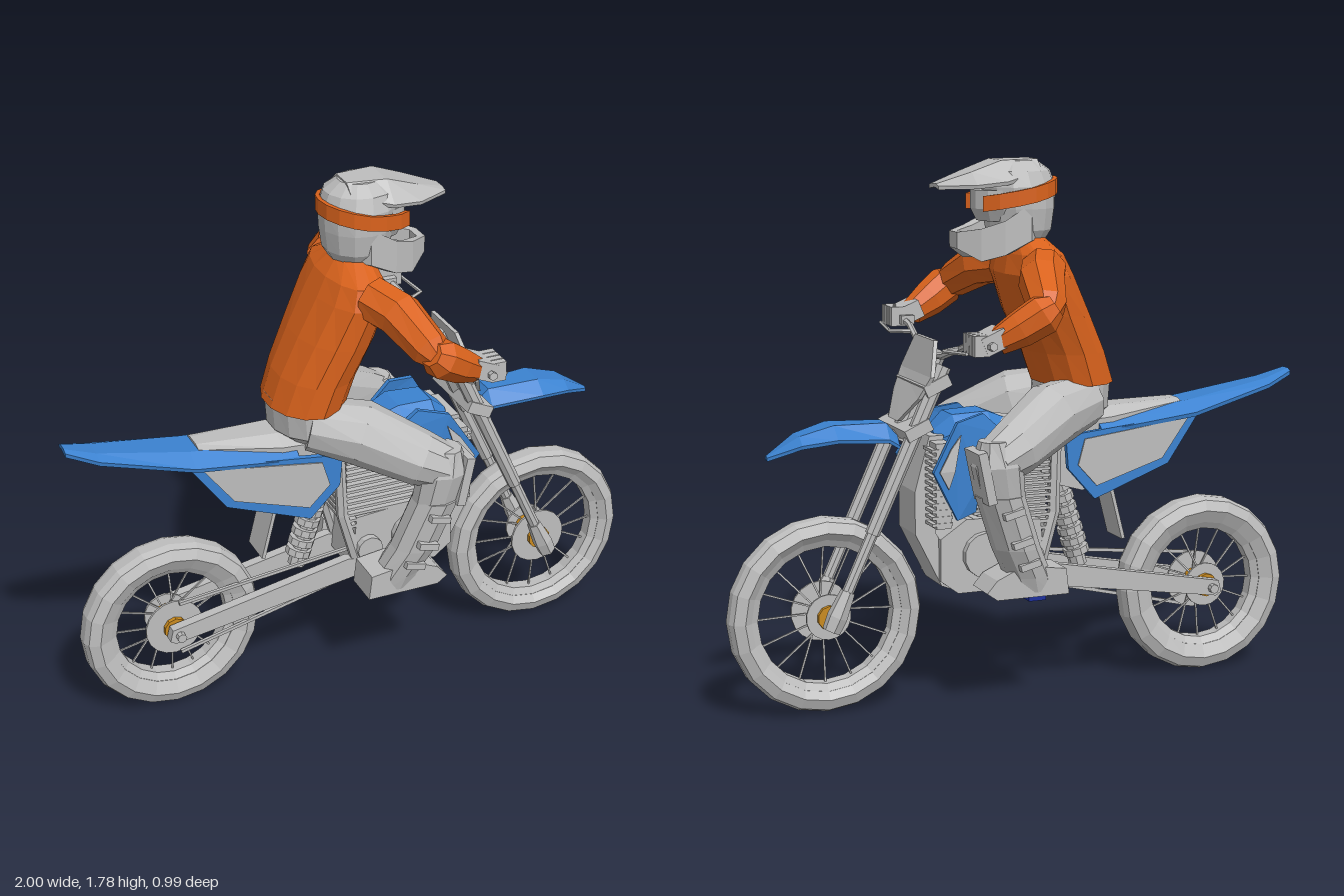
import * as THREE from 'three';
import { mergeGeometries } from 'three/addons/utils/BufferGeometryUtils.js';

const V = (x, y, z) => new THREE.Vector3(x, y, z);

// Faceted copy of a closed geometry with its faces turned outward
function flat(geo) {
  const p = (geo.index ? geo.toNonIndexed() : geo).attributes.position.array.slice();
  let vol = 0;
  const at = i => V(p[i], p[i + 1], p[i + 2]);
  for (let i = 0; i < p.length; i += 9) vol += at(i).dot(at(i + 3).cross(at(i + 6)));
  if (vol < 0) for (let i = 0; i < p.length; i += 9)
    for (let j = 3; j < 6; j++) [p[i + j], p[i + j + 3]] = [p[i + j + 3], p[i + j]];
  const out = new THREE.BufferGeometry();
  out.setAttribute('position', new THREE.BufferAttribute(p, 3));
  out.computeVertexNormals();
  return out;
}
const merge = list => mergeGeometries(list.map(flat));

// Skin over equal-sized rings of points, capped at both ends
function loft(rings) {
  const n = rings[0].length, pos = [], idx = [];
  rings.forEach(r => r.forEach(v => pos.push(v.x, v.y, v.z)));
  for (let i = 0; i < rings.length - 1; i++) for (let k = 0; k < n; k++) {
    const a = i * n + k, b = i * n + (k + 1) % n;
    idx.push(a, b, b + n, a, b + n, a + n);
  }
  const last = (rings.length - 1) * n;
  for (let k = 1; k < n - 1; k++) idx.push(0, k + 1, k, last, last + k, last + k + 1);
  const g = new THREE.BufferGeometry();
  g.setAttribute('position', new THREE.Float32BufferAttribute(pos, 3));
  g.setIndex(idx);
  return flat(g);
}
// Stacked ovals: [x, y, z, rx, rz]
const ovals = (secs, n = 12) => loft(secs.map(([x, y, z, rx, rz]) => Array.from({ length: n }, (_, k) => {
  const a = (k + 0.5) / n * Math.PI * 2;
  return V(x + Math.cos(a) * rx, y, z + Math.sin(a) * rz);
})));
// Round bar through points [x, y, z, r]
function limb(pts, n = 8, ref = V(0, 0, 1)) {
  const P = pts.map(p => V(p[0], p[1], p[2]));
  return loft(P.map((c, i) => {
    const t = P[Math.min(i + 1, P.length - 1)].clone().sub(P[Math.max(i - 1, 0)]).normalize();
    const u = t.clone().cross(ref).normalize(), w = t.clone().cross(u);
    return Array.from({ length: n }, (_, k) => {
      const a = (k + 0.5) / n * Math.PI * 2, r = pts[i][3];
      return c.clone().addScaledVector(u, Math.cos(a) * r).addScaledVector(w, Math.sin(a) * r);
    });
  }));
}
// Arched shell running along x: [x, y, halfWidth, drop]
const canopy = (secs, th) => loft(secs.map(([x, y, w, d]) => [
  V(x, y - d, -w), V(x, y, -w * 0.5), V(x, y, w * 0.5), V(x, y - d, w),
  V(x, y - d - th, w * 0.97), V(x, y - th, w * 0.48), V(x, y - th, -w * 0.48), V(x, y - d - th, -w * 0.97)]));
// Side-on outline pushed from z0 to z1, optionally shifted in z by a rule
function slab(pts, z0, z1, rule) {
  const g = new THREE.ExtrudeGeometry(new THREE.Shape(pts.map(p => new THREE.Vector2(...p))), { depth: z1 - z0, bevelEnabled: false });
  g.translate(0, 0, z0);
  const a = g.attributes.position;
  if (rule) for (let i = 0; i < a.count; i++) a.setZ(i, a.getZ(i) + rule(a.getX(i), a.getY(i)));
  return flat(g);
}
const box = (w, h, d, x, y, z, tilt = 0) => flat(new THREE.BoxGeometry(w, h, d).rotateZ(tilt).translate(x, y, z));
const disc = (r, d, x, y, z, n = 18) => flat(new THREE.CylinderGeometry(r, r, d, n).rotateX(Math.PI / 2).translate(x, y, z));

export function createModel() {
  const mat = (name, color) => Object.assign(new THREE.MeshStandardMaterial({ color }), { name });
  const grey = mat('grey', 0xbdbdbd), blue = mat('blue', 0x3b82d0), orange = mat('orange', 0xd9621c);
  const gold = mat('gold', 0xc98a1e), navy = mat('navy', 0x1c2f9c);
  const root = new THREE.Group();
  const bike = new THREE.Group(), rider = new THREE.Group();
  bike.name = 'bike'; rider.name = 'rider';
  root.add(bike, rider);
  const add = (group, name, geo, m = grey) => {
    const mesh = new THREE.Mesh(flat(geo), m);
    mesh.name = name;
    group.add(mesh);
  };
  const pair = (group, name, geo, m = grey) => {
    add(group, name + 'Right', geo.clone().scale(1, 1, -1), m);
    add(group, name + 'Left', geo, m);
  };

  // Wheels: tyre, rim, spokes, brake disc, hub
  function wheel(name, x, y, R, rimR, hw) {
    const g = new THREE.Group();
    g.name = name;
    const ring = pts => new THREE.LatheGeometry([...pts, pts[0]].map(p => new THREE.Vector2(...p)), 20).rotateX(Math.PI / 2);
    add(g, 'tyre', ring([[rimR + 0.012, -hw * 0.65], [R - 0.045, -hw], [R - 0.01, -hw * 0.75], [R, -hw * 0.35],
      [R, hw * 0.35], [R - 0.01, hw * 0.75], [R - 0.045, hw], [rimR + 0.012, hw * 0.65]]));
    add(g, 'rim', ring([[rimR - 0.012, -0.022], [rimR + 0.02, -hw * 0.7], [rimR + 0.02, hw * 0.7], [rimR - 0.012, 0.022]]));
    const spokes = [];
    for (let i = 0; i < 16; i++) {
      const a = i / 16 * Math.PI * 2, b = a + (i % 2 ? 0.12 : -0.12), z = i % 4 < 2 ? 0.035 : -0.035;
      spokes.push(limb([[Math.cos(b) * 0.035, Math.sin(b) * 0.035, z, 0.004], [Math.cos(a) * rimR, Math.sin(a) * rimR, 0, 0.004]], 4));
    }
    add(g, 'spokes', merge(spokes));
    add(g, 'brakeDisc', merge([disc(0.1, 0.008, 0, 0, 0.045), disc(0.075, 0.008, 0, 0, -0.045)]));
    add(g, 'hub', disc(0.04, 0.128, 0, 0, 0, 10), gold);
    add(g, 'axle', disc(0.016, 0.25, 0, 0, 0, 8));
    g.position.set(x, y, 0);
    bike.add(g);
  }
  wheel('frontWheel', 0.676, 0.326, 0.322, 0.24, 0.055);
  wheel('rearWheel', -0.675, 0.306, 0.305, 0.205, 0.06);

  // Front fork, clamps and number plate
  const forkAt = (y, r, z = 0.105) => [0.67 - (y - 0.33) * 0.462, y, z, r];
  pair(bike, 'forkUpper', limb([forkAt(0.6, 0.024), forkAt(1.13, 0.027)]));
  pair(bike, 'forkLower', limb([forkAt(0.33, 0.019), forkAt(0.62, 0.019)]));
  pair(bike, 'forkFoot', limb([forkAt(0.295, 0.03), forkAt(0.34, 0.034), forkAt(0.42, 0.024)], 6));
  for (const y of [0.93, 1.07]) add(bike, 'forkClamp', box(0.09, 0.04, 0.27, forkAt(y)[0], y, 0, -0.43));
  add(bike, 'steeringStem', limb([forkAt(0.88, 0.035, 0), forkAt(1.17, 0.035, 0)]));
  const plate = [[0.145, 1.1], [0.09, 1.21], [-0.09, 1.21], [-0.145, 1.1], [-0.12, 1.03], [-0.045, 0.95], [0.045, 0.95], [0.12, 1.03]];
  add(bike, 'numberPlate', loft([0, 0.014].map(o => plate.map(([z, y]) => V(0.32 + o + (1.21 - y) * 0.4 - z * z, y, z)))));

  // Handlebar and levers
  pair(bike, 'handlebar', limb([[0.3, 1.15, 0, 0.011], [0.3, 1.16, 0.1, 0.011], [0.28, 1.215, 0.27, 0.011], [0.265, 1.235, 0.46, 0.014]], 6, V(0, 1, 0)));
  pair(bike, 'lever', limb([[0.29, 1.2, 0.22, 0.008], [0.355, 1.2, 0.26, 0.007], [0.335, 1.21, 0.41, 0.006]], 5, V(0, 1, 0)));

  // Fenders, seat and tank
  add(bike, 'frontFender', canopy([[0.43, 0.9, 0.055, 0.03], [0.47, 0.945, 0.07, 0.05], [0.65, 0.95, 0.095, 0.04],
    [0.76, 0.92, 0.07, 0.025], [0.86, 0.858, 0.012, 0.004]], 0.012), blue);
  add(bike, 'rearFender', canopy([[-1, 1.037, 0.035, 0.008], [-0.9, 1.008, 0.07, 0.015], [-0.6, 0.957, 0.115, 0.035],
    [-0.25, 0.925, 0.128, 0.04]], 0.014), blue);
  add(bike, 'seat', canopy([[-0.57, 0.963, 0.055, 0.008], [-0.3, 0.955, 0.1, 0.03], [0, 0.93, 0.09, 0.03], [0.12, 0.95, 0.08, 0.03]], 0.07));
  add(bike, 'tank', canopy([[0.02, 0.92, 0.07, 0.04], [0.13, 0.965, 0.11, 0.05], [0.25, 0.96, 0.1, 0.05], [0.31, 0.91, 0.06, 0.03]], 0.1), blue);

  // Side panels with plain inset plates
  const panelZ = x => 0.095 + 0.05 * (x + 0.62) / 0.5;
  pair(bike, 'sidePanel', slab([[-0.62, 0.92], [-0.11, 0.88], [-0.12, 0.77], [-0.22, 0.66], [-0.5, 0.755]], -0.02, 0, panelZ), blue);
  pair(bike, 'sidePanelInset', slab([[-0.575, 0.905], [-0.18, 0.865], [-0.155, 0.78], [-0.225, 0.705], [-0.475, 0.775]], -0.003, 0.005, panelZ));
  add(bike, 'airbox', slab([[-0.52, 0.91], [-0.02, 0.89], [-0.06, 0.72], [-0.2, 0.68], [-0.45, 0.78]], -0.08, 0.08));

  // Flared shrouds over the radiators
  const flare = (x, y) => 0.1 + 0.09 * Math.max(0, Math.min(1, x / 0.32)) - Math.abs(y - 0.8) * 0.15;
  pair(bike, 'shroud', slab([[0, 0.83], [0.08, 0.89], [0.17, 0.97], [0.27, 0.95], [0.365, 0.8], [0.27, 0.63], [0.2, 0.65],
    [0.19, 0.75], [0.09, 0.76]], -0.018, 0, flare), blue);
  pair(bike, 'shroudInset', slab([[0.26, 0.91], [0.3, 0.87], [0.345, 0.8], [0.31, 0.74], [0.29, 0.8]], -0.003, 0.004, flare));
  const slats = [];
  for (let i = 0; i < 12; i++) slats.push(box(0.07, 0.01, 0.085, 0.32, 0.62 + i * 0.022, 0.105));
  pair(bike, 'radiator', merge([box(0.05, 0.28, 0.08, 0.315, 0.745, 0.105), ...slats]));

  // Engine, finned cylinder and skid plate
  add(bike, 'engine', slab([[-0.06, 0.4], [0.05, 0.375], [0.25, 0.375], [0.31, 0.42], [0.31, 0.56], [0.22, 0.62], [-0.04, 0.6]], -0.1, 0.1));
  add(bike, 'frameSpar', slab([[0.22, 0.37], [0.3, 0.4], [0.39, 0.58], [0.39, 0.72], [0.34, 0.9], [0.29, 0.9], [0.33, 0.7], [0.32, 0.58], [0.25, 0.45]], -0.08, 0.08));
  add(bike, 'cylinder', box(0.24, 0.32, 0.14, 0.05, 0.72, 0));
  const fins = [];
  for (let i = 0; i < 14; i++) fins.push(box(0.27, 0.01, 0.2, 0.06, 0.57 + i * 0.022, 0));
  add(bike, 'coolingFins', merge(fins));
  pair(bike, 'engineCover', merge([disc(0.075, 0.03, 0.16, 0.5, 0.11, 14), disc(0.045, 0.03, 0.0, 0.48, 0.11, 12)]));
  pair(bike, 'frameRail', limb([[-0.1, 0.88, 0.085, 0.02], [-0.09, 0.62, 0.09, 0.02], [-0.03, 0.41, 0.09, 0.022]], 6));

  // Swingarm, chain, shock and mud flap
  pair(bike, 'swingarm', slab([[-0.71, 0.29], [-0.7, 0.33], [-0.07, 0.45], [0, 0.43], [-0.03, 0.38], [-0.69, 0.278]], 0.07, 0.105));
  add(bike, 'chain', merge([limb([[-0.66, 0.4, 0.06, 0.008], [0, 0.47, 0.06, 0.008]], 4), limb([[-0.66, 0.212, 0.06, 0.008], [0, 0.37, 0.06, 0.008]], 4)]));
  const coils = [];
  for (let i = 0; i < 7; i++) {
    const t = i / 7;
    coils.push(limb([[-0.215 + t * 0.08, 0.45 + t * 0.26, 0, 0.044], [-0.208 + t * 0.08, 0.473 + t * 0.26, 0, 0.044]], 10));
  }
  add(bike, 'shock', merge([limb([[-0.22, 0.41, 0, 0.03], [-0.12, 0.76, 0, 0.03]]), ...coils]));
  add(bike, 'mudFlap', box(0.012, 0.2, 0.12, -0.335, 0.595, 0, -0.25));
  pair(bike, 'footPeg', box(0.06, 0.025, 0.11, 0.02, 0.37, 0.165), navy);

  // Rider torso and hips
  add(rider, 'torso', ovals([[-0.19, 1.045, 0, 0.13, 0.18], [-0.155, 1.15, 0, 0.13, 0.19], [-0.095, 1.28, 0, 0.13, 0.21],
    [-0.045, 1.41, 0, 0.115, 0.228], [-0.035, 1.475, 0, 0.092, 0.205], [-0.02, 1.525, 0, 0.06, 0.1]], 14), orange);
  add(rider, 'hips', ovals([[-0.15, 0.91, 0, 0.1, 0.12], [-0.18, 0.96, 0, 0.125, 0.165], [-0.19, 1.07, 0, 0.122, 0.17]], 14));
  add(rider, 'neck', limb([[-0.02, 1.48, 0, 0.065], [0.01, 1.58, 0, 0.065]]));

  // Arms and gloves
  const X = V(1, 0, 0), Y = V(0, 1, 0);
  pair(rider, 'upperArm', limb([[-0.02, 1.43, 0.17, 0.075], [0.03, 1.41, 0.27, 0.075], [0.07, 1.345, 0.41, 0.062], [0.085, 1.32, 0.45, 0.035]], 8, X), orange);
  pair(rider, 'forearm', limb([[0.055, 1.35, 0.445, 0.04], [0.09, 1.325, 0.435, 0.066], [0.16, 1.28, 0.415, 0.06], [0.23, 1.24, 0.395, 0.044]], 8, Y), orange);
  const fingers = [];
  for (let i = 0; i < 4; i++) fingers.push(box(0.05, 0.065, 0.022, 0.295, 1.235, 0.35 + i * 0.026));
  pair(rider, 'glove', merge([box(0.08, 0.06, 0.1, 0.25, 1.245, 0.39, -0.4), box(0.045, 0.03, 0.03, 0.27, 1.225, 0.33), ...fingers]));

  // Legs, knee guards and boots
  pair(rider, 'thigh', limb([[-0.2, 0.99, 0.09, 0.09], [-0.05, 0.955, 0.155, 0.108], [0.12, 0.87, 0.25, 0.092], [0.2, 0.835, 0.28, 0.075]], 10));
  pair(rider, 'shin', ovals([[0.2, 0.91, 0.28, 0.045, 0.055], [0.185, 0.83, 0.28, 0.085, 0.075], [0.16, 0.7, 0.265, 0.075, 0.068]], 10));
  pair(rider, 'kneeGuard', box(0.03, 0.17, 0.13, 0.24, 0.8, 0.28, -0.2));
  pair(rider, 'bootShaft', ovals([[0.17, 0.73, 0.265, 0.08, 0.08], [0.105, 0.55, 0.24, 0.08, 0.077], [0.055, 0.45, 0.215, 0.078, 0.072], [0.04, 0.4, 0.205, 0.078, 0.068]], 10));
  pair(rider, 'bootFoot', slab([[-0.07, 0.385], [0.18, 0.385], [0.215, 0.41], [0.18, 0.45], [0.09, 0.49], [-0.06, 0.47]], 0.14, 0.27));
  const buckles = [[0.15, 0.68, 0.338], [0.115, 0.58, 0.325], [0.08, 0.5, 0.3]];
  pair(rider, 'bootBuckles', merge(buckles.map(b => box(0.07, 0.022, 0.025, ...b, -0.25))));

  // Helmet with chin bar, visor and goggles
  add(rider, 'helmetShell', ovals([[0, 1.51, 0, 0.085, 0.09], [-0.002, 1.55, 0, 0.108, 0.115], [0, 1.62, 0, 0.12, 0.126],
    [0.005, 1.69, 0, 0.128, 0.126], [0.01, 1.74, 0, 0.115, 0.108], [0.01, 1.772, 0, 0.07, 0.065]], 14));
  const jaw = [[0, 0.122, 1.52, 1.64], [0.09, 0.115, 1.475, 1.585], [0.16, 0.085, 1.455, 1.56], [0.225, 0.035, 1.495, 1.548]];
  const bar = [...jaw, ...jaw.map(([x, z, a, b]) => [x, -z, a, b]).reverse()];
  add(rider, 'chinBar', loft(bar.map(([x, z, a, b]) =>
    [V(x, a, z), V(x, b, z), V(x - 0.025, b, z * 0.75), V(x - 0.025, a, z * 0.75)])));
  add(rider, 'visor', canopy([[-0.05, 1.777, 0.085, 0.035], [0.08, 1.775, 0.118, 0.065], [0.18, 1.74, 0.105, 0.04], [0.29, 1.703, 0.045, 0.006]], 0.012));
  add(rider, 'goggleLens', ovals([[0.06, 1.58, 0, 0.08, 0.075], [0.06, 1.62, 0, 0.1, 0.095], [0.06, 1.68, 0, 0.1, 0.095]], 12));
  // Strap slopes down toward the goggles and stays open at the front
  const strap = [];
  for (let i = 0; i <= 14; i++) {
    const a = 0.62 + i / 14 * (Math.PI * 2 - 1.24), c = Math.cos(a), s = Math.sin(a);
    const ring = (r, h) => V(0.008 + c * (0.128 + r) + (c > 0 ? c * 0.04 : 0), 1.663 - c * 0.03 + h, s * (0.126 + r));
    strap.push([ring(0.008, -0.025), ring(0.008, 0.025), ring(-0.006, 0.025), ring(-0.006, -0.025)]);
  }
  add(rider, 'goggleStrap', loft(strap), orange);
  return root;
}
